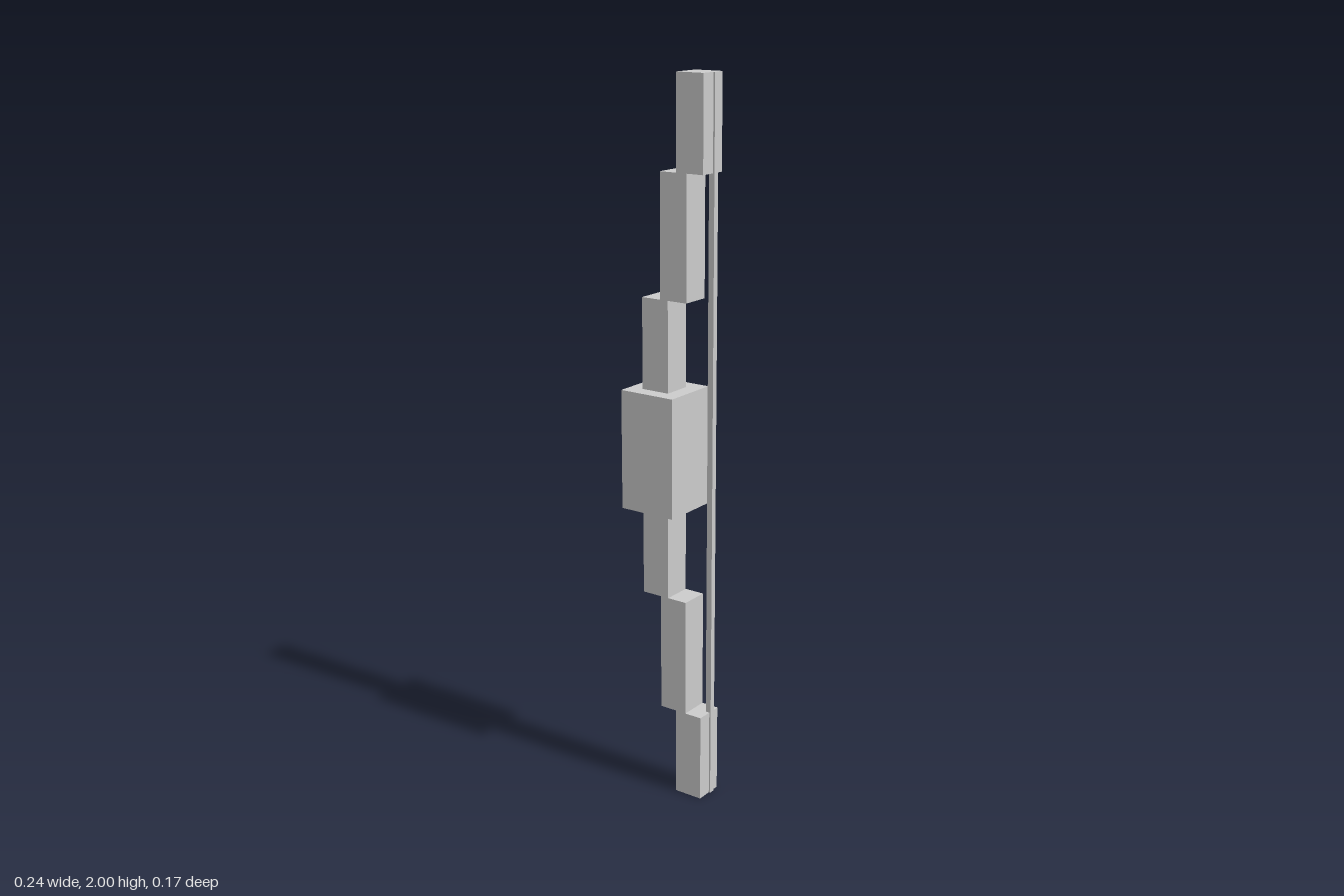
import * as THREE from 'three';

export function createModel() {
  const bow = new THREE.Group();
  bow.name = 'bow';
  const material = new THREE.MeshStandardMaterial({ color: 0xcccccc, flatShading: true });

  // Box given by its centre and size
  function block(name, [x, y, z], [w, h, d]) {
    const mesh = new THREE.Mesh(new THREE.BoxGeometry(w, h, d), material);
    mesh.name = name;
    mesh.position.set(x, y, z);
    bow.add(mesh);
  }

  const unit = 1 / 12;
  const middle = 1;

  // Thick grip in the middle
  block('grip', [-0.0358, middle, 0], [2 * unit, 4 * unit, 2 * unit]);

  // Stepped limbs, mirrored above and below the grip
  const steps = [
    { name: 'InnerLimb', x: -0.0375, from: 2, to: 5 },
    { name: 'MiddleLimb', x: 0.0215, from: 5, to: 9 },
    { name: 'LimbTip', x: 0.0725, from: 9, to: 12 },
  ];
  for (const [side, sign] of [['upper', 1], ['lower', -1]]) {
    for (const { name, x, from, to } of steps) {
      const y = middle + sign * (from + to) / 2 * unit;
      block(side + name, [x, y, 0], [unit, (to - from) * unit, unit]);
    }
  }

  // Thin string running the full height along the tips
  block('string', [0.1105, middle, -0.01], [unit / 5, 2, unit / 5]);

  return bow;
}
